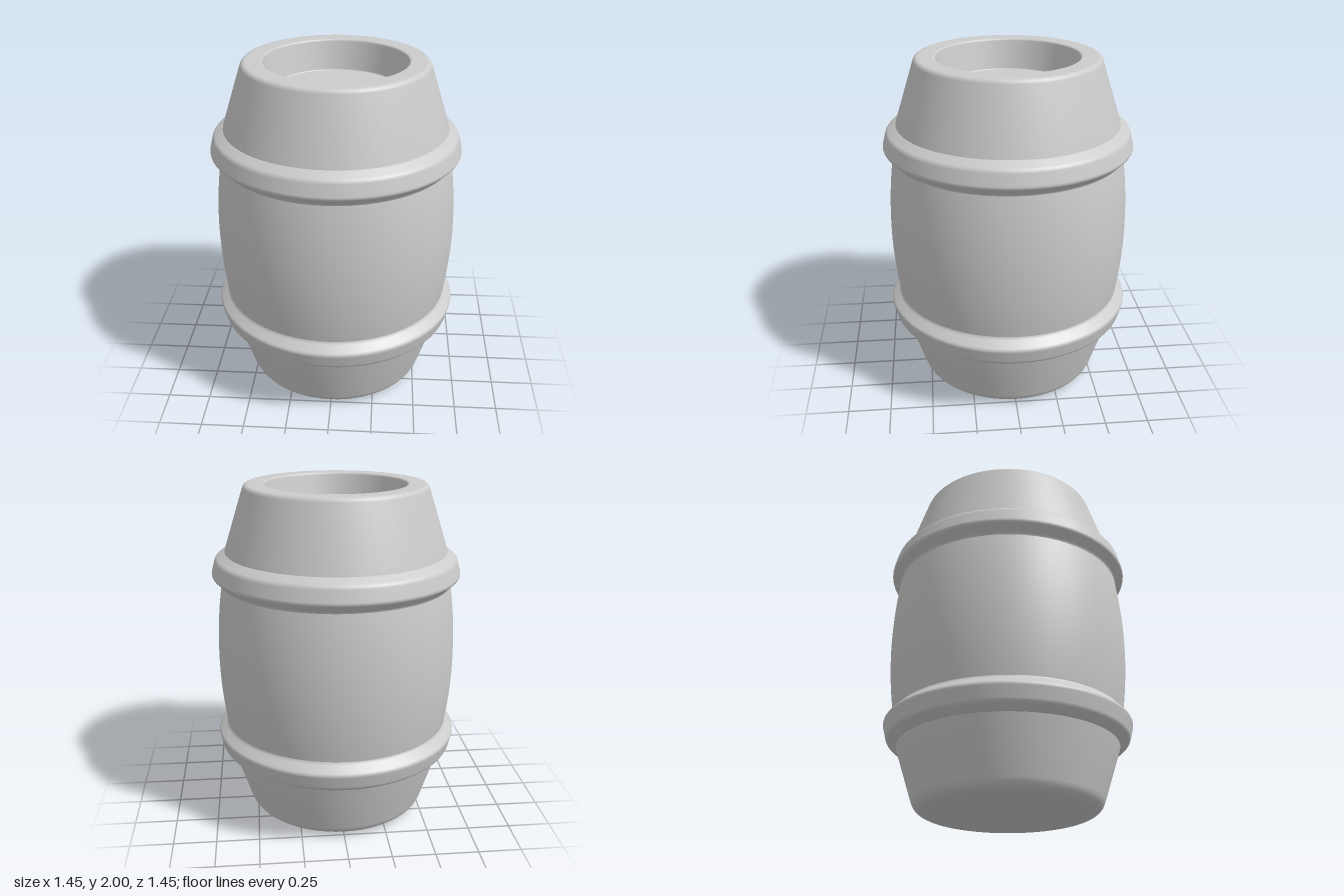
import * as THREE from 'three';

const SEGMENTS = 64;

// Turns [radius, height, cornerCut] points into a profile with rounded corners.
function roundedProfile(points) {
  const corners = points.map(([r, y]) => new THREE.Vector2(r, y));
  const out = [corners[0]];
  for (let i = 1; i < corners.length - 1; i++) {
    const p = corners[i];
    const cut = points[i][2] || 0;
    if (!cut) {
      out.push(p);
      continue;
    }
    const toward = (q) => p.clone().add(q.clone().sub(p).setLength(cut));
    const curve = new THREE.QuadraticBezierCurve(toward(corners[i - 1]), p, toward(corners[i + 1]));
    out.push(...curve.getPoints(5));
  }
  out.push(corners[corners.length - 1]);
  return out;
}

function turned(name, profile, material) {
  const mesh = new THREE.Mesh(new THREE.LatheGeometry(profile, SEGMENTS), material);
  mesh.name = name;
  return mesh;
}

export function createModel() {
  const group = new THREE.Group();
  group.name = 'barrel';
  const material = new THREE.MeshStandardMaterial({ color: 0xcccccc });

  // Lower cone, with a softly rounded underside
  const base = roundedProfile([
    [0, 0], [0.3, 0.003], [0.42, 0.01], [0.528, 0.022, 0.055], [0.645, 0.385], [0.66, 0.5],
  ]);
  group.add(turned('lowerBody', base, material));

  // Bulging middle
  const belly = [];
  for (let i = 0; i <= 16; i++) {
    const t = (i / 16) * 2 - 1;
    belly.push(new THREE.Vector2(0.705 - 0.042 * t * t, 1 + 0.47 * t));
  }
  group.add(turned('middleBody', belly, material));

  // Upper cone, rim and recessed lid
  const top = roundedProfile([
    [0.66, 1.5], [0.645, 1.625], [0.525, 2, 0.025], [0.408, 2, 0.012],
    [0.375, 1.82, 0.008], [0, 1.82],
  ]);
  group.add(turned('upperBody', top, material));

  // Two hoops, mirrored about mid height
  const hoop = [
    [0.63, 0.378], [0.65, 0.386, 0.006], [0.703, 0.42, 0.016],
    [0.727, 0.515, 0.016], [0.672, 0.565, 0.012], [0.664, 0.6],
  ];
  const mirrored = hoop.map(([r, y, cut]) => [r, 2 - y, cut]).reverse();
  group.add(turned('lowerHoop', roundedProfile(hoop), material));
  group.add(turned('upperHoop', roundedProfile(mirrored), material));

  return group;
}
